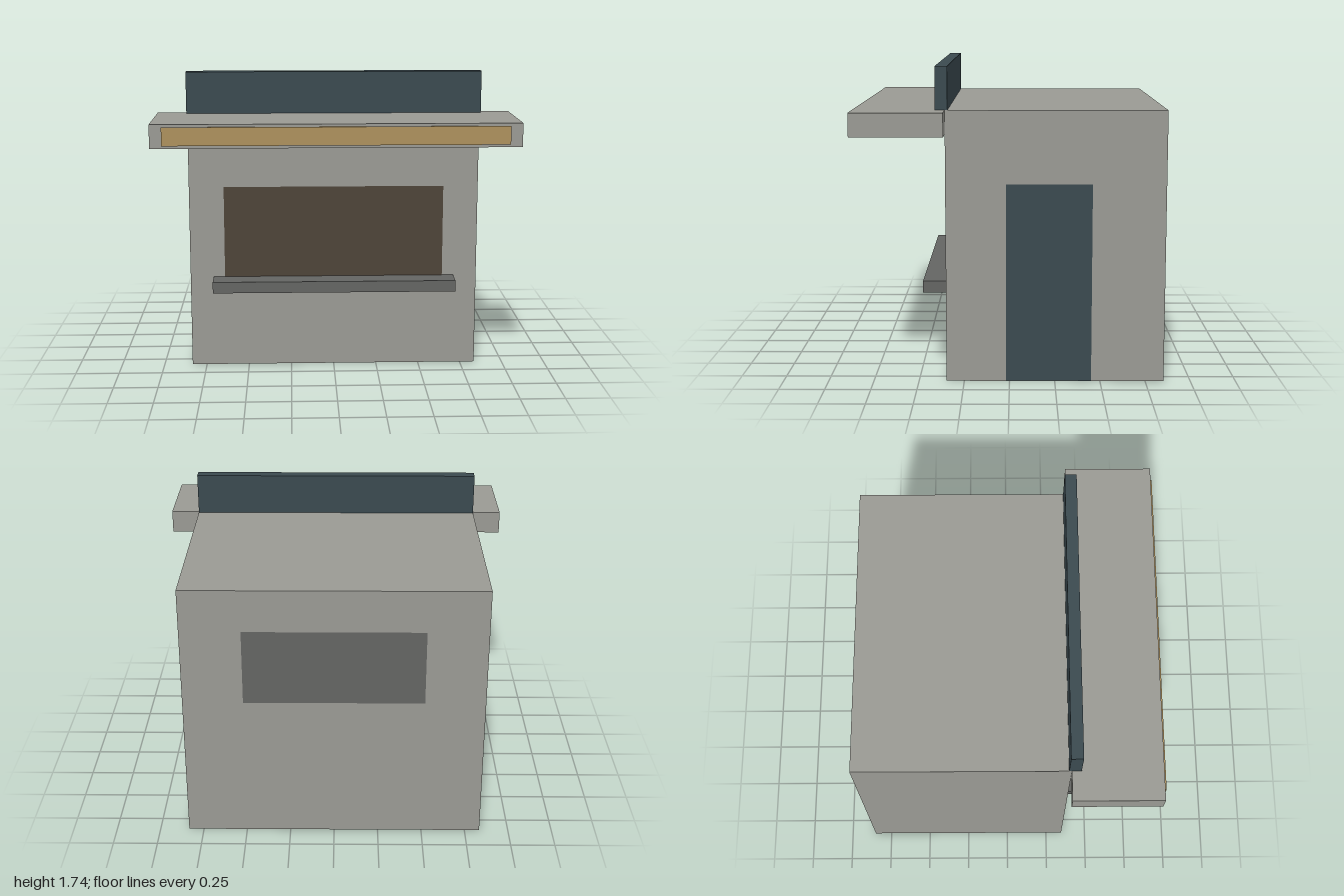
import * as THREE from 'three';

const paint = (name, color, side = THREE.FrontSide) => {
  const m = new THREE.MeshStandardMaterial({ color, side });
  m.name = name;
  return m;
};

export function createModel() {
  const model = new THREE.Group();
  model.name = 'kiosk';

  const wallGrey = paint('wallGrey', 0x9a9a94, THREE.DoubleSide);
  const darkSlate = paint('darkSlate', 0x3b4a50);
  const brown = paint('brown', 0x4e4439);
  const ochre = paint('ochre', 0xad915d);
  const darkGrey = paint('darkGrey', 0x646563);

  const add = (name, geometry, material) => {
    const mesh = new THREE.Mesh(geometry, material);
    mesh.name = name;
    model.add(mesh);
    return mesh;
  };

  // Box given by its minimum and maximum corners
  const box = (name, material, [x0, y0, z0], [x1, y1, z1]) => {
    const geometry = new THREE.BoxGeometry(x1 - x0, y1 - y0, z1 - z0);
    geometry.translate((x0 + x1) / 2, (y0 + y1) / 2, (z0 + z1) / 2);
    return add(name, geometry, material);
  };

  // Flat panel lying just off a wall, turned to face outward
  const panel = (name, material, width, y0, y1, x, z, turn) => {
    const mesh = add(name, new THREE.PlaneGeometry(width, y1 - y0), material);
    mesh.position.set(x, (y0 + y1) / 2, z);
    mesh.rotation.y = turn;
    return mesh;
  };

  // Hollow shell: four walls and a roof, open underneath
  const shell = box('shell', wallGrey, [-0.835, 0, -0.852], [0.835, 1.5, 0.348]);
  const index = Array.from(shell.geometry.index.array);
  index.splice(18, 6);
  shell.geometry.setIndex(index);
  shell.geometry.clearGroups();

  // Canopy, its fascia strip and the sign board on the roof edge
  box('canopy', wallGrey, [-1, 1.37, 0.348], [1, 1.5, 0.847]);
  box('fasciaStrip', ochre, [-0.935, 1.385, 0.847], [0.935, 1.485, 0.855]);
  box('signBoard', darkSlate, [-0.835, 1.5, 0.333], [0.835, 1.735, 0.4]);

  // Serving hatch with rolled shutter above and counter below
  panel('servingHatch', brown, 1.27, 0.535, 1.067, 0, 0.351, 0);
  panel('rolledShutter', wallGrey, 1.27, 1.067, 1.3, 0, 0.351, 0);
  box('counter', darkGrey, [-0.7, 0.47, 0.349], [0.7, 0.535, 0.483]);

  // Side door and rear vent
  panel('sideDoor', darkSlate, 0.47, 0.002, 1.1, 0.838, -0.216, Math.PI / 2);
  panel('rearVent', darkGrey, 1.0, 0.83, 1.26, 0, -0.855, Math.PI);

  return model;
}
